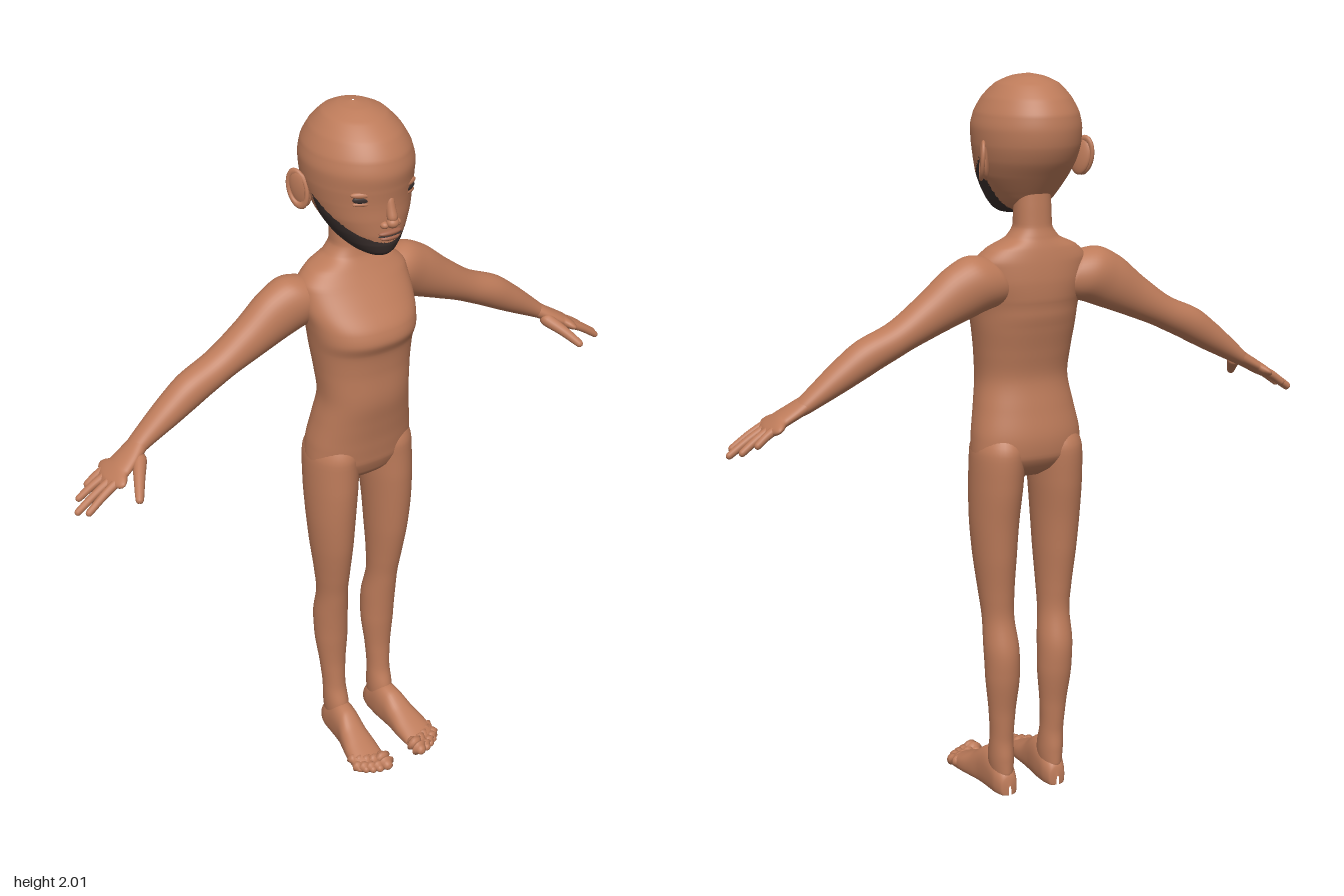
import * as THREE from 'three';

const skin = new THREE.MeshStandardMaterial({ color: 0xbd7b5a });
skin.name = 'skin';
const dark = new THREE.MeshStandardMaterial({ color: 0x3b302e });
dark.name = 'dark brown';
const lip = new THREE.MeshStandardMaterial({ color: 0xa4654c });
lip.name = 'lip';

// Smooth closed skin through rings; each ring is { c: centre, u, v: half-axis vectors }.
function loft(rings, { steps = 6, segs = 40, power = 2, floor = -1 } = {}) {
  const curve = key => new THREE.CatmullRomCurve3(rings.map(r => r[key]));
  const [C, U, V] = ['c', 'u', 'v'].map(curve);
  const n = (rings.length - 1) * steps;
  const pos = [], index = [];
  const bend = t => Math.sign(t) * Math.pow(Math.abs(t), 2 / power);
  for (let i = 0; i <= n; i++) {
    const c = C.getPoint(i / n), u = U.getPoint(i / n), v = V.getPoint(i / n);
    for (let j = 0; j < segs; j++) {
      const a = (j / segs) * Math.PI * 2;
      const p = c.clone().addScaledVector(u, bend(Math.cos(a))).addScaledVector(v, bend(Math.sin(a)));
      pos.push(p.x, Math.max(p.y, floor), p.z);
    }
  }
  for (let i = 0; i < n; i++) {
    for (let j = 0; j < segs; j++) {
      const a = i * segs + j, b = i * segs + (j + 1) % segs;
      index.push(a, b, a + segs, b, b + segs, a + segs);
    }
  }
  // Turn the faces outward whichever way the rings run
  const P = k => new THREE.Vector3().fromArray(pos, k * 3);
  const mid = rings[rings.length >> 1].c;
  let volume = 0;
  for (let k = 0; k < index.length; k += 3) {
    const [a, b, c] = [0, 1, 2].map(o => P(index[k + o]).sub(mid));
    volume += a.dot(b.cross(c));
  }
  if (volume < 0) index.reverse();
  const g = new THREE.BufferGeometry();
  g.setAttribute('position', new THREE.Float32BufferAttribute(pos, 3));
  g.setIndex(index);
  g.computeVertexNormals();
  return g;
}

const V3 = (x, y, z) => new THREE.Vector3(x, y, z);

// Horizontal rings from rows [y, half width, front z, back z, centre x]
const upright = rows => rows.map(([y, rx, zf, zb, cx = 0]) => ({
  c: V3(cx, y, (zf + zb) / 2), u: V3(rx, 0, 0), v: V3(0, 0, (zf - zb) / 2),
}));

function add(parent, name, geometry, material = skin) {
  const mesh = new THREE.Mesh(geometry, material);
  mesh.name = name;
  parent.add(mesh);
  return mesh;
}

// Round-ended tapered limb through points, used for fingers, toes and the nose
function digit(points, r0, r1) {
  const curve = new THREE.CatmullRomCurve3(points);
  const t = points[points.length - 1].clone().sub(points[0]).normalize();
  const u = V3(0, 1, 0).addScaledVector(t, -t.y).normalize();
  const v = u.clone().cross(t);
  const len = curve.getLength();
  const stops = [[0, 0.05], [r0 * 0.3 / len, 0.7], [r0 / len, 1], [0.5, 1],
    [1 - r1 / len, 1], [1 - r1 * 0.3 / len, 0.7], [1, 0.05]];
  return loft(stops.map(([s, k]) => {
    const r = k * (r0 + (r1 - r0) * s);
    return { c: curve.getPoint(s), u: u.clone().multiplyScalar(r), v: v.clone().multiplyScalar(r) };
  }), { steps: 3, segs: 14 });
}

function ball(parent, name, at, size, material = skin) {
  const mesh = add(parent, name, new THREE.SphereGeometry(1, 24, 16), material);
  mesh.position.set(...at);
  mesh.scale.set(...size);
  return mesh;
}

function buildHead(root) {
  const head = new THREE.Group();
  head.name = 'head';
  root.add(head);
  const g = loft(upright([
    [2.0, 0.003, -0.06, -0.066], [1.993, 0.04, -0.01, -0.11], [1.975, 0.08, 0.035, -0.15],
    [1.94, 0.112, 0.08, -0.187], [1.9, 0.133, 0.107, -0.21], [1.86, 0.141, 0.116, -0.215],
    [1.82, 0.139, 0.112, -0.21], [1.78, 0.132, 0.108, -0.193], [1.74, 0.12, 0.108, -0.165],
    [1.7, 0.1, 0.107, -0.135], [1.67, 0.08, 0.104, -0.11], [1.645, 0.055, 0.095, -0.06],
    [1.632, 0.03, 0.08, 0], [1.626, 0.003, 0.05, 0.045],
  ]), { steps: 8, segs: 96 });
  // The jaw below a slanting line is the beard
  const p = g.attributes.position, idx = g.index.array, face = [], jaw = [];
  for (let k = 0; k < idx.length; k += 3) {
    const tri = [idx[k], idx[k + 1], idx[k + 2]];
    const y = tri.reduce((s, i) => s + p.getY(i), 0) / 3;
    const z = tri.reduce((s, i) => s + p.getZ(i), 0) / 3;
    (z > -0.048 && y < 1.785 - 0.72 * (z + 0.045) ? jaw : face).push(...tri);
  }
  g.setIndex([...face, ...jaw]);
  g.addGroup(0, face.length, 0);
  g.addGroup(face.length, jaw.length, 1);
  add(head, 'skullAndBeard', g, [skin, dark]);

  // Nose and mouth
  add(head, 'noseBridge', digit([V3(0, 1.805, 0.098), V3(0, 1.77, 0.107), V3(0, 1.737, 0.118)], 0.011, 0.015));
  ball(head, 'noseTip', [0, 1.736, 0.115], [0.017, 0.014, 0.016]);
  ball(head, 'upperLip', [0, 1.706, 0.104], [0.034, 0.008, 0.012], lip);
  ball(head, 'lowerLip', [0, 1.692, 0.104], [0.029, 0.008, 0.012], lip);
  ball(head, 'mouthLine', [0, 1.699, 0.105], [0.035, 0.0022, 0.0095], dark);

  for (const s of [1, -1]) {
    ball(head, 'nostril', [s * 0.018, 1.73, 0.105], [0.012, 0.01, 0.013]);
    // Eyes
    ball(head, 'eye', [s * 0.069, 1.803, 0.084], [0.026, 0.01, 0.006], dark).rotation.y = s * 0.42;
    ball(head, 'upperLid', [s * 0.069, 1.816, 0.083], [0.031, 0.009, 0.009]).rotation.y = s * 0.42;
    ball(head, 'lowerLid', [s * 0.069, 1.791, 0.084], [0.026, 0.006, 0.005]).rotation.y = s * 0.42;
    // Ears
    const ear = ball(head, 'ear', [s * 0.14, 1.783, -0.092], [0.012, 0.05, 0.032]);
    ear.rotation.set(-0.15, s * -0.4, s * -0.15);
    const rim = add(head, 'earRim', new THREE.TorusGeometry(0.028, 0.006, 10, 32));
    rim.position.set(s * 0.147, 1.785, -0.094);
    rim.scale.set(1, 1.6, 1);
    rim.rotation.set(-0.15, s * (Math.PI / 2 - 0.4), s * -0.12);
  }
}

function buildArm(root, s) {
  const arm = new THREE.Group();
  arm.name = s > 0 ? 'leftArm' : 'rightArm';
  root.add(arm);
  // Rows [x, y, z, half height, half depth]
  const rings = rows => rows.map(([x, y, z, h, d]) => ({
    c: V3(s * x, y, z), u: V3(s * 0.45 * h, 0.89 * h, 0), v: V3(0, 0, d),
  }));
  add(arm, 'armSleeve', loft(rings([
    [0.07, 1.47, -0.09, 0.01, 0.01], [0.1, 1.475, -0.092, 0.065, 0.055], [0.16, 1.472, -0.098, 0.078, 0.066],
    [0.22, 1.447, -0.1, 0.074, 0.06], [0.3, 1.4, -0.1, 0.058, 0.053], [0.4, 1.344, -0.102, 0.045, 0.048],
    [0.48, 1.306, -0.1, 0.047, 0.047], [0.55, 1.262, -0.098, 0.04, 0.042], [0.62, 1.215, -0.096, 0.028, 0.034],
    [0.66, 1.188, -0.093, 0.02, 0.03], [0.68, 1.176, -0.09, 0.002, 0.003],
  ])));
  add(arm, 'palm', loft(rings([
    [0.62, 1.213, -0.095, 0.003, 0.003], [0.635, 1.204, -0.094, 0.022, 0.03], [0.67, 1.183, -0.085, 0.02, 0.04],
    [0.71, 1.16, -0.077, 0.018, 0.046], [0.745, 1.138, -0.075, 0.014, 0.046], [0.762, 1.128, -0.075, 0.002, 0.035],
  ])));
  // Fingers: base z, then tip x, y, z
  [[-0.11, 0.79, 1.106, -0.12], [-0.088, 0.825, 1.087, -0.1],
    [-0.063, 0.847, 1.074, -0.062], [-0.041, 0.83, 1.083, -0.03]].forEach(([bz, x, y, z]) =>
    add(arm, 'finger', digit([V3(s * 0.725, 1.15, bz), V3(s * (0.725 + x) / 2, (1.158 + y) / 2, (bz + z) / 2),
      V3(s * x, y, z)], 0.0125, 0.009)));
  add(arm, 'thumb', digit([V3(s * 0.65, 1.183, -0.072), V3(s * 0.685, 1.152, -0.012), V3(s * 0.715, 1.118, 0.042)], 0.02, 0.01));
}

function buildLeg(root, s) {
  const leg = new THREE.Group();
  leg.name = s > 0 ? 'leftLeg' : 'rightLeg';
  root.add(leg);
  add(leg, 'thighAndCalf', loft(upright([
    [1.1, 0.005, -0.03, -0.04, s * 0.075], [1.07, 0.05, 0.02, -0.11, s * 0.077], [1.0, 0.072, 0.046, -0.148, s * 0.085],
    [0.9, 0.07, 0.046, -0.142, s * 0.09], [0.8, 0.065, 0.04, -0.128, s * 0.093], [0.7, 0.058, 0.03, -0.118, s * 0.092],
    [0.6, 0.049, 0.012, -0.106, s * 0.089], [0.52, 0.044, -0.003, -0.103, s * 0.086], [0.43, 0.049, -0.014, -0.122, s * 0.083],
    [0.35, 0.048, -0.02, -0.12, s * 0.081], [0.25, 0.038, -0.026, -0.104, s * 0.08], [0.17, 0.033, -0.022, -0.097, s * 0.079],
    [0.11, 0.034, -0.005, -0.1, s * 0.078], [0.06, 0.03, 0, -0.1, s * 0.077], [0.04, 0.003, -0.04, -0.06, s * 0.077],
  ])));
  // Foot: rows [z, centre x, top y, half width], flat on the ground
  add(leg, 'foot', loft([
    [-0.107, 0.076, 0.03, 0.004], [-0.1, 0.076, 0.06, 0.024], [-0.07, 0.077, 0.09, 0.035], [-0.02, 0.078, 0.115, 0.038],
    [0.02, 0.081, 0.108, 0.039], [0.06, 0.086, 0.08, 0.044], [0.1, 0.09, 0.06, 0.05], [0.14, 0.093, 0.043, 0.051],
    [0.165, 0.093, 0.032, 0.045], [0.175, 0.092, 0.02, 0.03],
  ].map(([z, x, top, w]) => ({
    c: V3(s * x, top * 0.4, z), u: V3(s * w, 0, 0), v: V3(0, top * 0.6, 0),
  })), { floor: 0.003, power: 2.3 }));
  // Toes
  [[0.06, 0.214, 0.017], [0.084, 0.207, 0.012], [0.103, 0.198, 0.011], [0.12, 0.187, 0.011], [0.134, 0.173, 0.01]]
    .forEach(([x, z, r]) => add(leg, 'toe',
      digit([V3(s * (x - 0.004), 0.026, z - 0.07), V3(s * x, 0.022, z - 0.035), V3(s * x, r + 0.002, z)], r, r)));
}

export function createModel() {
  const root = new THREE.Group();
  root.name = 'figure';
  // Neck and torso in one smooth skin
  add(root, 'torso', loft(upright([
    [1.72, 0.045, -0.05, -0.13], [1.66, 0.049, -0.042, -0.134], [1.61, 0.051, -0.038, -0.137],
    [1.58, 0.072, -0.03, -0.145], [1.555, 0.125, -0.015, -0.153], [1.52, 0.158, 0.01, -0.16],
    [1.47, 0.16, 0.05, -0.165], [1.42, 0.152, 0.09, -0.163], [1.385, 0.147, 0.1, -0.158],
    [1.345, 0.142, 0.086, -0.15], [1.28, 0.134, 0.08, -0.135], [1.2, 0.128, 0.08, -0.122],
    [1.12, 0.14, 0.066, -0.135], [1.05, 0.153, 0.054, -0.148], [0.99, 0.157, 0.046, -0.146],
    [0.95, 0.13, 0.03, -0.12], [0.925, 0.08, 0.005, -0.08], [0.915, 0.004, -0.035, -0.045],
  ]), { segs: 64, power: 2.25 }));
  buildHead(root);
  for (const s of [1, -1]) {
    buildArm(root, s);
    buildLeg(root, s);
  }
  return root;
}
